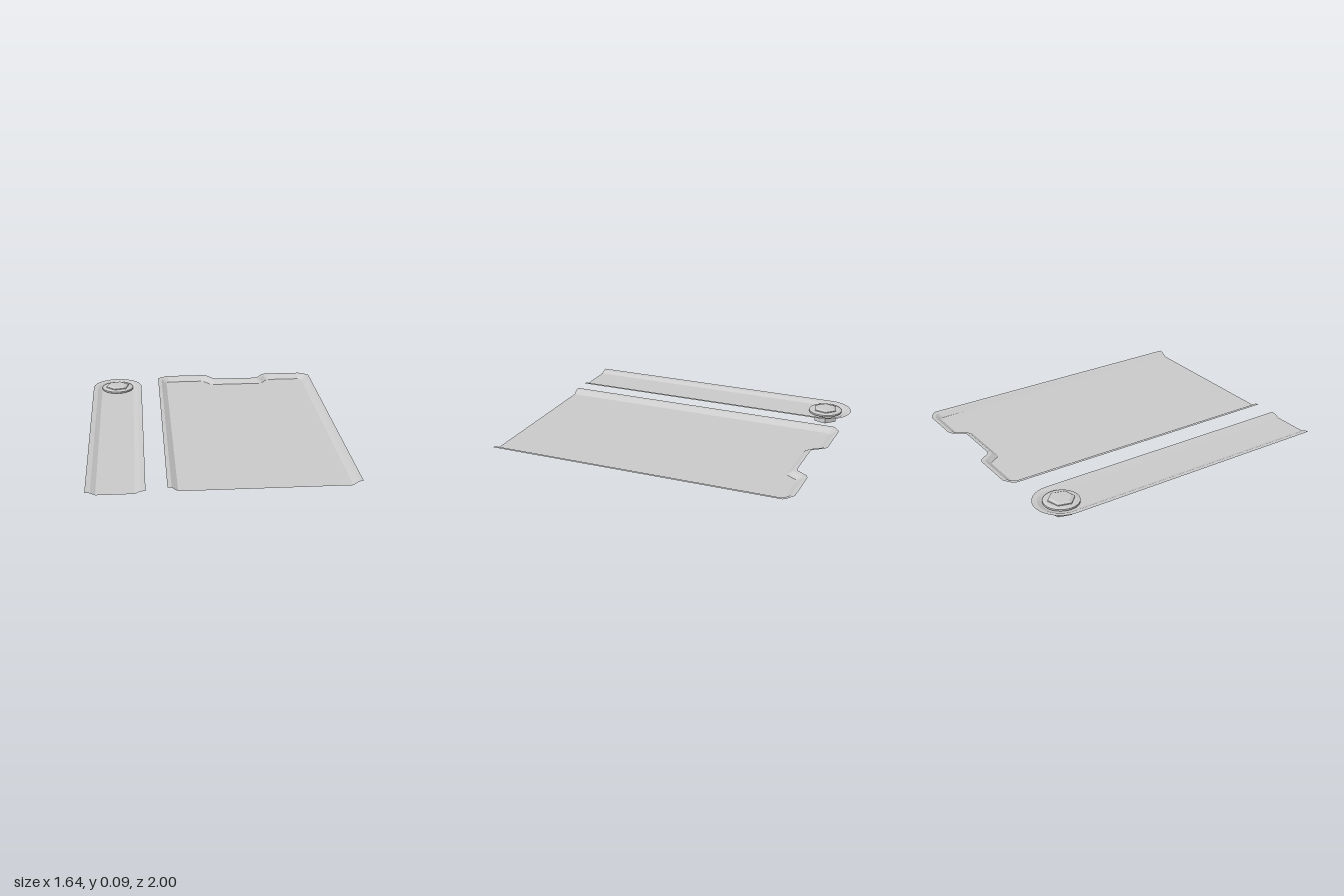
import * as THREE from 'three';

const material = new THREE.MeshStandardMaterial({ color: 0xcccccc, flatShading: true, side: THREE.DoubleSide });

function addMesh(parent, name, geometry) {
  const mesh = new THREE.Mesh(geometry, material);
  mesh.name = name;
  parent.add(mesh);
  return mesh;
}

// Strip of faces joining rings of [x, z] points, each ring at its own height.
function skirt(rings, heights) {
  const pos = [], index = [], n = rings[0].length;
  rings.forEach((ring, r) => ring.forEach(([x, z]) => pos.push(x, heights[r], z)));
  for (let r = 0; r < rings.length - 1; r++) {
    for (let i = 0; i < n - 1; i++) {
      const a = r * n + i, b = a + n;
      index.push(a, b, a + 1, b, b + 1, a + 1);
    }
  }
  const geo = new THREE.BufferGeometry();
  geo.setAttribute('position', new THREE.Float32BufferAttribute(pos, 3));
  geo.setIndex(index);
  geo.computeVertexNormals();
  return geo;
}

function floor(ring, y) {
  const shape = new THREE.Shape(ring.map(([x, z]) => new THREE.Vector2(x, -z)));
  return new THREE.ShapeGeometry(shape).rotateX(-Math.PI / 2).translate(0, y, 0);
}

// Shallow pressed tray, open at the front end.
function addTray(parent, name, rings, heights) {
  const tray = new THREE.Group();
  tray.name = name;
  const last = rings.length - 1;
  addMesh(tray, name + 'Rim', skirt(rings, heights));
  addMesh(tray, name + 'Floor', floor(rings[last], heights[last]));
  parent.add(tray);
}

export function createModel() {
  const model = new THREE.Group();
  model.name = 'coverPlates';

  // Wide panel with a notch in its back edge
  const outer = [[-0.34, 0.985], [-0.34, -0.945], [-0.325, -0.965], [-0.275, -1], [0.005, -1], [0.035, -0.985],
    [0.08, -0.92], [0.1, -0.91], [0.39, -0.91], [0.415, -0.92], [0.455, -0.985], [0.485, -1],
    [0.745, -1], [0.8, -0.965], [0.815, -0.945], [0.82, 0.985]];
  const inner = [[-0.278, 0.985], [-0.278, -0.915], [-0.274, -0.922], [-0.255, -0.938], [-0.015, -0.938], [0.005, -0.93],
    [0.05, -0.865], [0.07, -0.855], [0.425, -0.855], [0.445, -0.865], [0.487, -0.93], [0.505, -0.938],
    [0.73, -0.938], [0.75, -0.922], [0.755, -0.915], [0.758, 0.985]];
  const middle = outer.map(([x, z], i) => [x + (inner[i][0] - x) * 0.4, z + (inner[i][1] - z) * 0.4]);
  addTray(model, 'panel', [outer, middle, inner], [0.081, 0.078, 0.054]);

  // Narrow strap with a round back end
  const cx = -0.645, cz = -0.81;
  const strapRing = (r) => {
    const ring = [[cx - r, 1]];
    for (let i = 0; i <= 24; i++) {
      const a = Math.PI * i / 24;
      ring.push([cx - r * Math.cos(a), cz - r * Math.sin(a)]);
    }
    ring.push([cx + r, 1]);
    return ring;
  };
  addTray(model, 'strap', [0.177, 0.145, 0.115].map(strapRing), [0.071, 0.067, 0.053]);

  // Bolt: washer, chamfered hexagonal head and hollow hexagonal socket below
  const bolt = new THREE.Group();
  bolt.name = 'bolt';
  bolt.position.set(cx, 0, cz);
  const washerProfile = [[0, 0.054], [0.1, 0.054], [0.113, 0.06], [0.113, 0.071], [0.095, 0.076], [0, 0.076]];
  addMesh(bolt, 'washer', new THREE.LatheGeometry(washerProfile.map((p) => new THREE.Vector2(...p)), 40));
  const headProfile = [[0.085, 0.074], [0.085, 0.082], [0.065, 0.09], [0, 0.09]];
  const hexParts = [
    addMesh(bolt, 'boltHead', new THREE.LatheGeometry(headProfile.map((p) => new THREE.Vector2(...p)), 6)),
    addMesh(bolt, 'boltSocket', new THREE.CylinderGeometry(0.085, 0.085, 0.056, 6, 1, true).translate(0, 0.028, 0)),
  ];
  hexParts.forEach((part) => { part.rotation.y = -Math.PI / 12; });
  model.add(bolt);

  return model;
}
